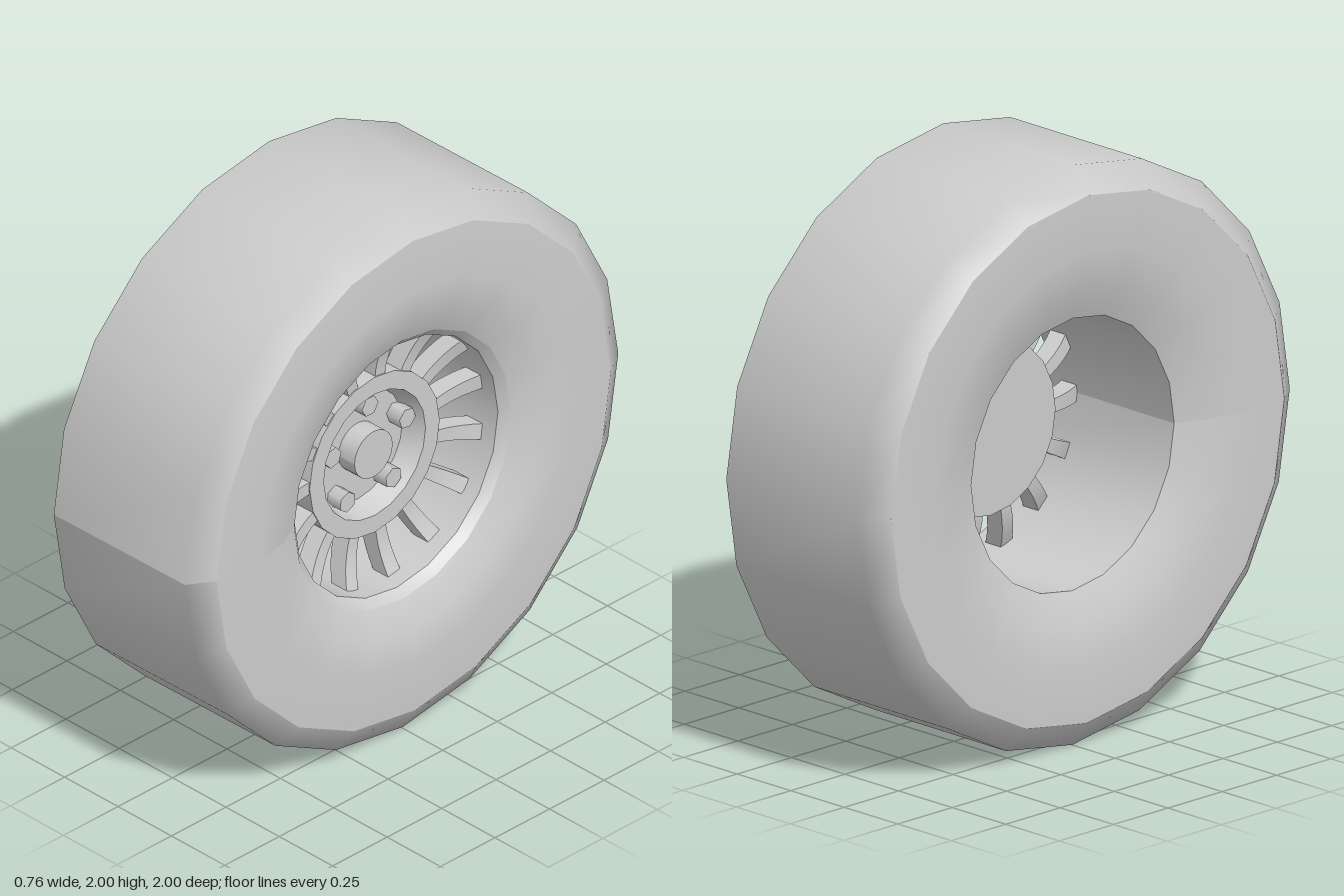
import * as THREE from 'three';

const grey = new THREE.MeshStandardMaterial({ color: 0xcccccc });
grey.name = 'plain grey';

// Axle runs along x; profile points are [radius, x]
function revolve(name, points, sides = 20) {
  const geo = new THREE.LatheGeometry(points.map(([r, x]) => new THREE.Vector2(r, x)), sides);
  geo.rotateZ(-Math.PI / 2);
  geo.computeVertexNormals();
  return named(name, geo);
}

function named(name, geo) {
  const mesh = new THREE.Mesh(geo, grey);
  mesh.name = name;
  return mesh;
}

// Each profile section becomes its own strip, so edges between strips stay sharp
function revolveSharp(name, points, sides) {
  const group = new THREE.Group();
  group.name = name;
  for (let i = 0; i < points.length - 1; i++) {
    group.add(revolve(name + 'Face', [points[i], points[i + 1]], sides));
  }
  return group;
}

// Tapered blade that bends outward towards the rim
function spokeGeometry() {
  const geo = new THREE.BoxGeometry(1, 1, 1, 5, 1, 1);
  const p = geo.attributes.position;
  for (let i = 0; i < p.count; i++) {
    const t = p.getX(i) + 0.5;
    const radius = 0.285 + 0.183 * t;
    const depth = 0.14 + 0.045 * t * t + p.getY(i) * 0.07;
    const width = p.getZ(i) * (0.045 + 0.012 * t);
    // radial direction is +z, tangent is y
    p.setXYZ(i, depth, width, radius);
  }
  geo.computeVertexNormals();
  return geo;
}

export function createModel() {
  const model = new THREE.Group();
  model.name = 'wheel';
  const wheel = new THREE.Group();
  wheel.name = 'wheelAssembly';
  wheel.position.y = 1;
  wheel.rotation.set(0, 0.006, 0.006);
  model.add(wheel);

  // Tyre
  wheel.add(
    revolve('tread', [[0.91, -0.37], [1, -0.305], [1, 0.305], [0.91, 0.362]]),
    revolve('outerSidewall', [[0.91, 0.362], [0.72, 0.373], [0.6, 0.355], [0.5, 0.31]]),
    revolve('innerSidewall', [[0.47, -0.3], [0.58, -0.345], [0.72, -0.375], [0.91, -0.37]]),
  );

  // Rim lip and barrel
  wheel.add(
    revolve('rimLip', [[0.5, 0.31], [0.47, 0.28]]),
    revolve('rimBarrel', [[0.47, 0.28], [0.47, -0.3]]),
  );

  // Dished hub with a round centre cap
  wheel.add(
    revolveSharp('hub', [[0, 0.08], [0.3, 0.08], [0.3, 0.18], [0.235, 0.18], [0.207, 0.1], [0, 0.1]]),
    revolveSharp('centreCap', [[0.088, 0.095], [0.088, 0.175], [0, 0.175]]),
  );

  // Spokes
  const spokeGeo = spokeGeometry();
  for (let i = 0; i < 15; i++) {
    const spoke = named('spoke', spokeGeo);
    spoke.rotation.x = (i / 15) * Math.PI * 2;
    wheel.add(spoke);
  }

  // Wheel bolts
  const boltGeo = new THREE.CylinderGeometry(0.038, 0.038, 0.065, 6);
  boltGeo.rotateZ(-Math.PI / 2);
  for (let i = 0; i < 5; i++) {
    const a = (i / 5) * Math.PI * 2;
    const bolt = named('bolt', boltGeo);
    bolt.position.set(0.128, 0.18 * Math.cos(a), 0.18 * Math.sin(a));
    bolt.rotation.x = a;
    wheel.add(bolt);
  }

  return model;
}
